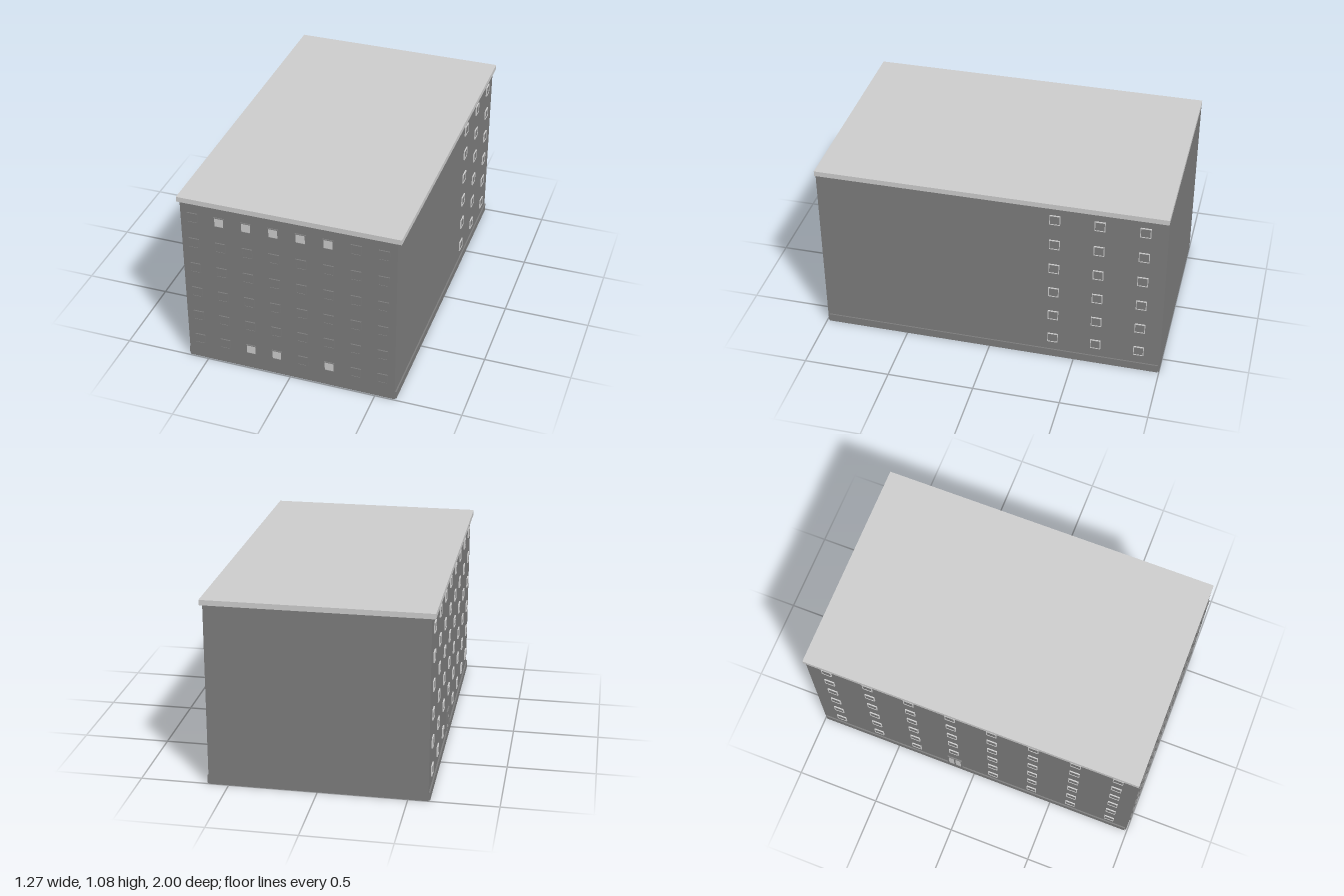
import * as THREE from 'three';

const light = new THREE.MeshStandardMaterial({ color: 0xcccccc });
const dark = new THREE.MeshStandardMaterial({ color: 0x7b7b7b });
const WIN = 0.06, WALL_H = 1.048, HALF_W = 0.613, FRONT = 0.993;
const MID_Z = (FRONT - 1) / 2, LENGTH = FRONT + 1;
const floors = Array.from({ length: 6 }, (_, i) => 0.134 + i * 0.166);

function addBox(parent, name, material, w, h, d, x, y, z) {
  const m = new THREE.Mesh(new THREE.BoxGeometry(w, h, d), material);
  m.name = name;
  m.position.set(x, y, z);
  parent.add(m);
}

function rect(path, w, h) {
  path.moveTo(-w / 2, -h / 2);
  path.lineTo(w / 2, -h / 2);
  path.lineTo(w / 2, h / 2);
  path.lineTo(-w / 2, h / 2);
  path.closePath();
  return path;
}

// A raised rim around a slightly sunken pane, facing +z
function opening(parent, name, x, y, w, h, rim, depth, frameMaterial, paneMaterial) {
  const g = new THREE.Group();
  g.name = name;
  g.position.set(x, y, 0);
  const shape = rect(new THREE.Shape(), w, h);
  shape.holes.push(rect(new THREE.Path(), w - 2 * rim, h - 2 * rim));
  const frame = new THREE.Mesh(new THREE.ExtrudeGeometry(shape, { depth, bevelEnabled: false }), frameMaterial);
  frame.name = name + 'Frame';
  g.add(frame);
  addBox(g, name + 'Pane', paneMaterial, w - 2 * rim, h - 2 * rim, depth * 0.6, 0, 0, depth * 0.3);
  parent.add(g);
  return g;
}

export function createModel() {
  const model = new THREE.Group();
  model.name = 'apartmentBlock';

  // Main body
  addBox(model, 'walls', dark, 2 * HALF_W, WALL_H, LENGTH, 0, WALL_H / 2, MID_Z);

  // Front: eight columns, with bright panes on parts of the top and ground floors
  const front = new THREE.Group();
  front.name = 'frontWindows';
  front.position.z = FRONT;
  const bright = { 0: [2, 3, 5], 5: [1, 2, 3, 4, 5] };
  floors.forEach((y, f) => {
    for (let c = 0; c < 8; c++) {
      const pane = bright[f]?.includes(c) ? light : dark;
      opening(front, 'window', -0.543 + c * 0.155, y, WIN, WIN, 0.004, 0.007, dark, pane);
    }
  });
  model.add(front);

  // Left side: three columns near the back
  const left = new THREE.Group();
  left.name = 'leftWindows';
  left.rotation.y = Math.PI / 2;
  left.position.x = HALF_W;
  for (const y of floors) {
    for (let c = 0; c < 3; c++) opening(left, 'window', 0.375 + c * 0.25, y, WIN, WIN, 0.004, 0.007, light, dark);
  }
  model.add(left);

  // Right side: eight columns, with a door in place of one ground-floor window
  const right = new THREE.Group();
  right.name = 'rightWindows';
  right.rotation.y = -Math.PI / 2;
  right.position.x = -HALF_W;
  floors.forEach((y, f) => {
    for (let c = 0; c < 8; c++) {
      const x = -0.875 + c * 0.25;
      if (f > 0 || c !== 3) {
        opening(right, 'window', x, y, WIN, WIN, 0.004, 0.007, light, dark);
        continue;
      }
      const door = opening(right, 'door', x, 0.105, 0.095, 0.13, 0.008, 0.008, dark, light);
      addBox(door, 'doorPost', dark, 0.008, 0.114, 0.008, 0, 0, 0.004);
    }
  });
  model.add(right);

  // Plinth strips along both long sides
  for (const s of [-1, 1]) addBox(model, 'plinth', dark, 0.012, 0.048, LENGTH - 0.016, s * 0.615, 0.024, MID_Z);

  // Flat roof slab
  addBox(model, 'roof', light, 1.266, 0.03, LENGTH, 0, WALL_H + 0.015, MID_Z);

  return model;
}
